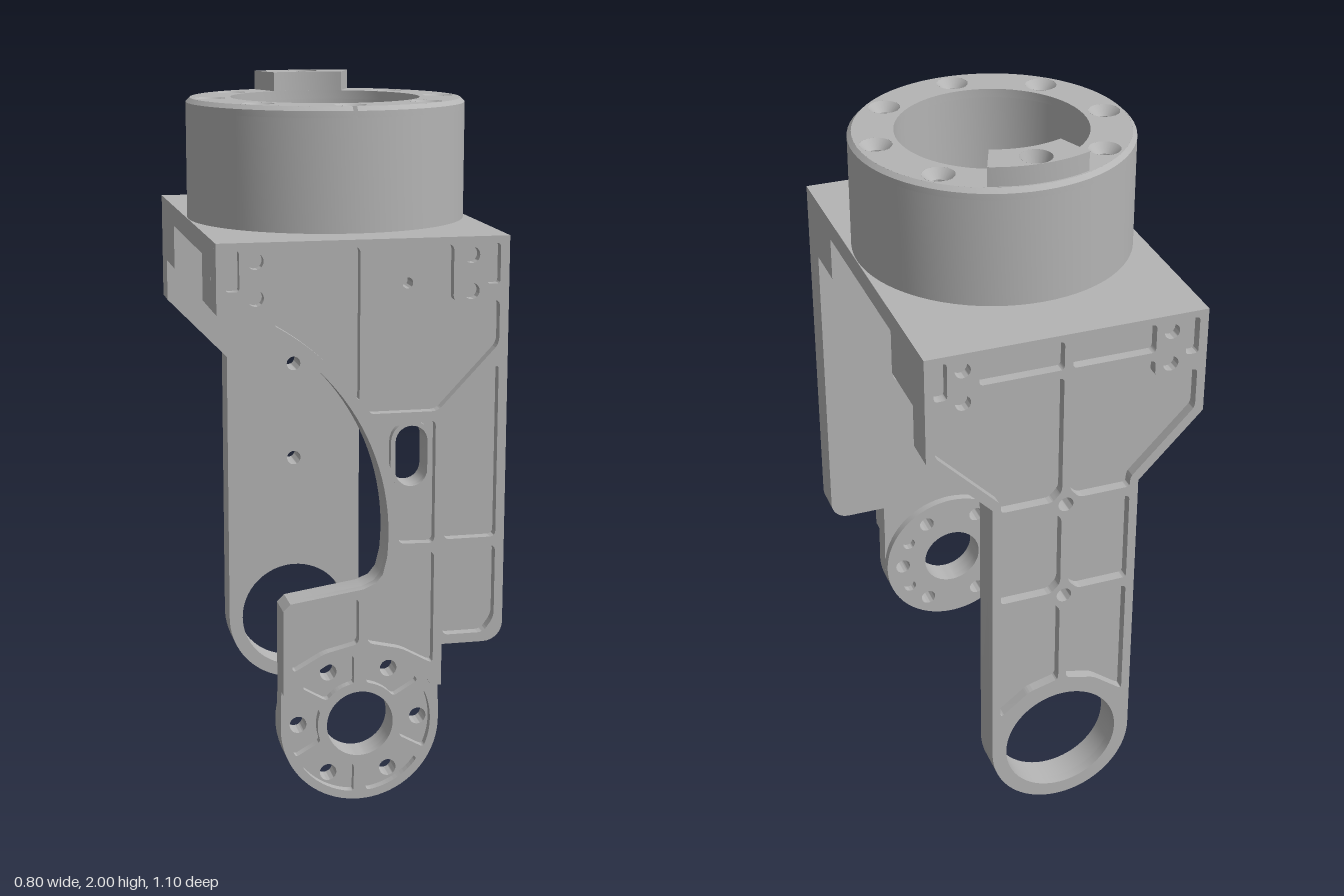
import * as THREE from 'three';
import { toCreasedNormals } from 'three/addons/utils/BufferGeometryUtils.js';

const metal = new THREE.MeshStandardMaterial({ color: 0xb4b4b4 });
metal.name = 'grey metal';
const openMetal = metal;
openMetal.side = THREE.DoubleSide;

const RING_Z = 0.035, BOLT_R = 0.333, HUB_Y = 0.228;
const polar = (cx, cy, r, deg) => {
  const a = deg * Math.PI / 180;
  return [cx + r * Math.cos(a), cy + r * Math.sin(a)];
};
// points along an arc
const arc = (cx, cy, r, a0, a1, n) =>
  Array.from({ length: n + 1 }, (_, i) => polar(cx, cy, r, a0 + (a1 - a0) * i / n));
const mirror = pts => pts.map(([x, y]) => [-x, y]);
const poly = pts => new THREE.Shape(pts.map(p => new THREE.Vector2(...p)));
const circle = (x, y, r) => new THREE.Shape().absarc(x, y, r, 0, Math.PI * 2);
const rect = (x0, y0, x1, y1) => poly([[x0, y0], [x1, y0], [x1, y1], [x0, y1]]);

// polygon with softened corners
function rounded(pts, r = 0.018) {
  const s = new THREE.Shape(), n = pts.length;
  const toward = (p, q) => {
    const d = Math.hypot(q[0] - p[0], q[1] - p[1]), t = Math.min(r, d * 0.45) / d;
    return [p[0] + (q[0] - p[0]) * t, p[1] + (q[1] - p[1]) * t];
  };
  pts.forEach((p, i) => {
    const a = toward(p, pts[(i + n - 1) % n]), b = toward(p, pts[(i + 1) % n]);
    i ? s.lineTo(...a) : s.moveTo(...a);
    s.quadraticCurveTo(...p, ...b);
  });
  s.closePath();
  return s;
}
const stadium = (x, y0, y1, r) =>
  poly([...arc(x, y0, r, 180, 360, 14), ...arc(x, y1, r, 0, 180, 14)]);

function solid(outline, holes, depth) {
  const s = outline.clone();
  s.holes = holes;
  return new THREE.ExtrudeGeometry(s, { depth, bevelEnabled: false, curveSegments: 32 });
}
function add(group, name, geometry) {
  const m = new THREE.Mesh(geometry, metal);
  m.name = name;
  group.add(m);
  return m;
}
// upright plate spanning z0..z1
const plate = (g, name, outline, holes, z0, z1) =>
  add(g, name, toCreasedNormals(solid(outline, holes, z1 - z0).translate(0, 0, z0), 0.5));
// flat slab spanning y0..y1, outline drawn in x and z
const slab = (g, name, outline, holes, y0, y1) =>
  add(g, name, toCreasedNormals(solid(outline, holes, y1 - y0).rotateX(Math.PI / 2).translate(0, y1, 0), 0.5));

const bolts = Array.from({ length: 8 }, (_, i) => polar(0, RING_Z, BOLT_R, i * 45));
const boltHoles = r => bolts.map(([x, z]) => circle(x, z, r));

// corner fasteners and slim relief pockets shared by both legs
const cornerCuts = () => [-1, 1].flatMap(s => [
  circle(s * 0.295, 1.555, 0.022), circle(s * 0.295, 1.457, 0.022),
  rounded([[s * 0.338, 1.585], [s * 0.375, 1.585], [s * 0.375, 1.475], [s * 0.338, 1.475]], 0.012),
]);

function buildCollar() {
  const g = new THREE.Group();
  g.name = 'collar';
  const bore = () => circle(0, RING_Z, 0.27);
  const disc = circle(0, RING_Z, 0.386);
  slab(g, 'collarBody', disc, [bore(), ...boltHoles(0.02)], 1.605, 1.92);
  slab(g, 'collarTop', disc, [bore(), ...boltHoles(0.045)], 1.92, 1.945);
  // outer skin, with a small index notch at the front of the rim
  const skin = (name, pts, gap) => {
    const geo = new THREE.LatheGeometry(pts.map(p => new THREE.Vector2(...p)), 72, gap, Math.PI * 2 - 2 * gap);
    add(g, name, toCreasedNormals(geo.translate(0, 0, RING_Z), 0.5));
  };
  skin('collarWall', [[0.386, 1.605], [0.398, 1.605], [0.398, 1.915]], 0);
  skin('collarRim', [[0.398, 1.915], [0.398, 1.933], [0.386, 1.945]], 0.016);
  // locating tab above the rear bolt
  const tab = poly([...arc(0, RING_Z, 0.27, -112, -68, 14), ...arc(0, RING_Z, 0.38, -68, -112, 14)]);
  const rear = [0, RING_Z - BOLT_R];
  slab(g, 'locatingTab', tab, [circle(...rear, 0.045)], 1.945, 2.0);
  // countersinks
  bolts.forEach(([x, z], i) => {
    const top = i === 6 ? 2.0 : 1.945, h = top - 1.92;
    add(g, 'countersink', new THREE.CylinderGeometry(0.045, 0.02, h, 24, 1, true))
      .position.set(x, top - h / 2, z);
  });
  return g;
}

function buildBridge() {
  const g = new THREE.Group();
  g.name = 'bridge';
  slab(g, 'topPlate', rect(-0.4, -0.52, 0.4, 0.52), [circle(0, RING_Z, 0.27), ...boltHoles(0.02)], 1.545, 1.605);
  slab(g, 'frontBlock', rect(-0.4, 0.305, 0.4, 0.46), [circle(0, RING_Z + BOLT_R, 0.02)], 1.415, 1.545);
  slab(g, 'rearBlock', rect(-0.4, -0.46, 0.4, -0.27), [circle(0, RING_Z - BOLT_R, 0.02)], 1.415, 1.545);
  return g;
}

function buildFrontLeg() {
  const g = new THREE.Group();
  g.name = 'frontLeg';
  const cx = -0.58, cy = 0.79;
  const outline = poly([
    [-0.4, 1.605], ...arc(cx, cy, 0.65, 73.9, -6, 28),
    [0.055, 0.675], [0.035, 0.65], [0, 0.635], [-0.205, 0.605], [-0.225, 0.585],
    [-0.225, 0.34], ...arc(0, HUB_Y, 0.227, 150, 30, 24), [0.225, 0.34], [0.225, 0.46],
    ...arc(0.345, 0.515, 0.055, -90, 0, 8), [0.4, 1.605],
  ]);
  const slot = () => stadium(0.135, 0.965, 1.045, 0.045);
  plate(g, 'legWeb', outline, [slot(), circle(0.125, 1.48, 0.015)], 0.455, 0.52);
  const pockets = [
    [[-0.25, 1.585], [-0.012, 1.585], ...arc(cx, cy, 0.68, 33.5, 61, 10)],
    [[0.012, 1.585], [0.245, 1.585], [0.245, 1.43], [0.375, 1.43], [0.375, 1.31], [0.205, 1.13], [0.012, 1.13]],
    [[0.2, 1.105], [0.2, 0.757], ...arc(cx, cy, 0.68, -2.5, 26, 12)],
    [[0.227, 1.11], [0.375, 1.255], [0.375, 0.765], [0.227, 0.765]],
    [[0.227, 0.74], [0.375, 0.74], [0.375, 0.53], [0.345, 0.487], [0.227, 0.487]],
    [[0.092, 0.732], [0.2, 0.732], [0.2, 0.405], [0.11, 0.455], [0.012, 0.478], [0.012, 0.615], [0.075, 0.655]],
    [[-0.2, 0.583], [-0.012, 0.61], [-0.012, 0.478], [-0.11, 0.455], [-0.2, 0.405]],
  ];
  plate(g, 'legRibs', outline, [...pockets.map(p => rounded(p)), ...cornerCuts()], 0.52, 0.55);
  plate(g, 'slotRim', stadium(0.135, 0.965, 1.045, 0.058), [slot()], 0.52, 0.54);

  // joint disc: bolt circle with a spoked front face
  const six = [0, 60, 120, 180, 240, 300];
  const bore = () => circle(0, HUB_Y, 0.095);
  const through = () => six.map(a => circle(...polar(0, HUB_Y, 0.173, a), 0.024));
  const cup = poly([...arc(0, HUB_Y, 0.227, 180, 360, 40), [0.225, 0.345],
    ...arc(0, HUB_Y, 0.227, 30, 150, 24), [-0.225, 0.345]]);
  const blind = [30, 150, 210, 330].map(a => circle(...polar(0, HUB_Y, 0.173, a), 0.02));
  plate(g, 'jointBoss', circle(0, HUB_Y, 0.227), [bore(), ...through(), ...blind], 0.43, 0.455);
  plate(g, 'jointDisc', cup, [bore(), ...through()], 0.455, 0.49);
  const cells = six.map(a => rounded([
    ...arc(0, HUB_Y, 0.122, a - 22, a + 22, 4), ...arc(0, HUB_Y, 0.204, a + 25, a - 25, 6)], 0.012));
  plate(g, 'jointSpokes', cup, [bore(), ...cells], 0.49, 0.515);
  return g;
}

function buildRearLeg() {
  const g = new THREE.Group();
  g.name = 'rearLeg';
  const outline = poly([
    [-0.4, 1.605], [-0.4, 1.29], [-0.215, 1.1], ...arc(0, 0.23, 0.215, 180, 360, 40),
    [0.215, 1.1], [0.4, 1.29], [0.4, 1.605],
  ]);
  const eye = () => circle(0, 0.23, 0.172);
  const pins = () => [0.76, 1.07].map(y => circle(0, y, 0.022));
  plate(g, 'legWeb', outline, [eye(), ...pins()], -0.52, -0.45);
  const half = [
    [[0.012, 1.585], [0.25, 1.585], [0.25, 1.5], [0.012, 1.5]],
    [[0.012, 1.475], [0.25, 1.475], [0.25, 1.425], [0.375, 1.425], [0.375, 1.305], [0.19, 1.115], [0.19, 1.085], [0.04, 1.085], [0.012, 1.115]],
    [[0.04, 1.055], [0.19, 1.055], [0.19, 0.775], [0.04, 0.775], [0.012, 0.805], [0.012, 1.025]],
    [[0.04, 0.745], [0.19, 0.745], [0.19, 0.365], [0.1, 0.435], [0.012, 0.458], [0.012, 0.715]],
  ];
  const pockets = [...half, ...half.map(mirror)].map(p => rounded(p, 0.014));
  plate(g, 'legRibs', outline, [eye(), ...pins(), ...pockets, ...cornerCuts()], -0.55, -0.52);
  // raised bosses around the pin holes
  for (const y of [0.76, 1.07])
    plate(g, 'pinBoss', circle(0, y, 0.034), [circle(0, y, 0.022)], -0.55, -0.52);
  return g;
}

export function createModel() {
  const model = new THREE.Group();
  model.name = 'jointBracket';
  model.add(buildCollar(), buildBridge(), buildFrontLeg(), buildRearLeg());
  return model;
}
